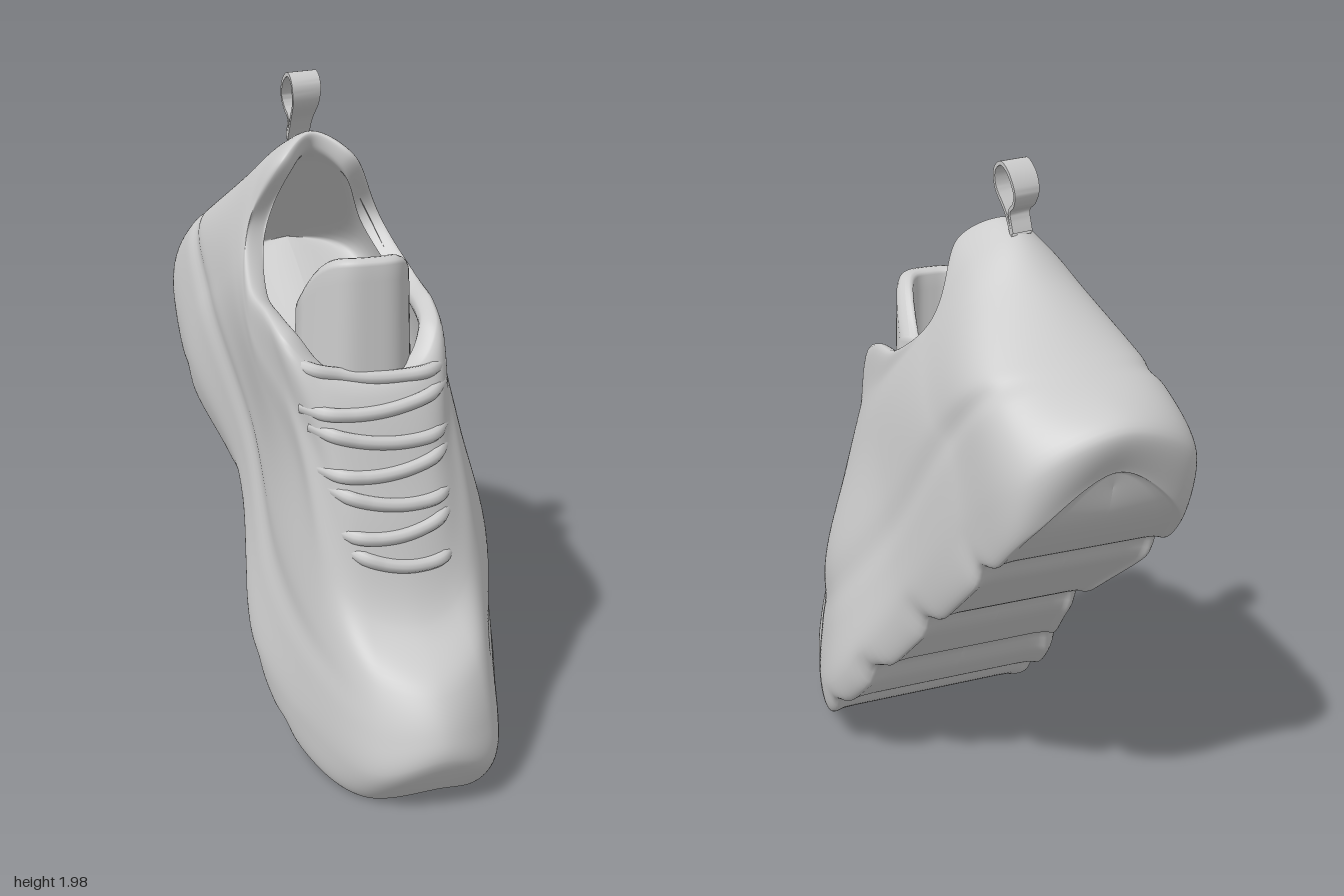
import * as THREE from 'three';
import { toCreasedNormals } from 'three/addons/utils/BufferGeometryUtils.js';

const V = (x, y, z) => new THREE.Vector3(x, y, z);
const material = new THREE.MeshStandardMaterial({ color: 0xcccccc });

// Skin a list of rings (equal counts of points) with quads; rings close on themselves
function skin(rings) {
  const n = rings[0].length, pos = [], idx = [];
  rings.forEach(r => r.forEach(p => pos.push(p.x, p.y, p.z)));
  for (let j = 0; j < rings.length - 1; j++) {
    for (let i = 0; i < n; i++) {
      const a = j * n + i, b = j * n + (i + 1) % n, c = b + n, d = a + n;
      idx.push(a, b, c, a, c, d);
    }
  }
  const g = new THREE.BufferGeometry();
  g.setAttribute('position', new THREE.Float32BufferAttribute(pos, 3));
  g.setIndex(idx);
  g.computeVertexNormals();
  return g;
}

function add(group, name, geometry, mat = material) {
  const m = new THREE.Mesh(geometry, mat);
  m.name = name;
  group.add(m);
  return m;
}

// One closed loop round the shoe. Stations run from toe tip to heel back,
// each [z, y, x on the left, x on the right]. narrow < 1 pulls it to the centre line.
const AROUND = 288;
function loop(stations, narrow = 1) {
  const last = stations.length - 1;
  const at = (i, k) => {
    const s = stations[i], c = (s[2] + s[3]) / 2;
    const p = V(c + (s[k] - c) * narrow, s[1], s[0]);
    const next = stations[i === 0 ? 1 : last - 1];
    return i === 0 || i === last ? p.lerp(V(p.x, next[1], next[0]), .4 * (1 - narrow)) : p;
  };
  const left = stations.map((s, i) => at(i, 2));
  const right = stations.slice(1, -1).map((s, i) => at(i + 1, 3)).reverse();
  const curve = new THREE.CatmullRomCurve3([...left, ...right], true);
  return Array.from({ length: AROUND }, (_, i) => curve.getPoint(i / AROUND));
}

function shrink(ring, f) {
  const c = ring.reduce((a, p) => a.add(p), V(0, 0, 0)).divideScalar(ring.length);
  return ring.map(p => p.clone().lerp(c, 1 - f));
}

function flatten(ring) {
  return ring.map((p, i) => {
    const q = ring[(ring.length - i) % ring.length];
    return p.clone().add(q).multiplyScalar(0.5);
  });
}

function shoeBody() {
  const tread = [[.79, .07, .01, .01], [.69, .02, .18, -.18], [.42, .05, .30, -.29], [.12, .20, .37, -.33],
    [-.28, .62, .23, -.27], [-.60, .92, .19, -.37], [-.79, 1.12, .14, -.32], [-.84, 1.28, -.09, -.09]];
  const midsole = [[.87, .20, 0, 0], [.79, .14, .175, -.175], [.50, .16, .30, -.29], [.13, .29, .40, -.36],
    [-.22, .70, .28, -.31], [-.52, 1.03, .22, -.40], [-.79, 1.28, .16, -.36], [-.87, 1.40, -.09, -.09]];
  const midsoleTop = [[.86, .28, 0, 0], [.78, .26, .165, -.165], [.52, .33, .28, -.275], [.17, .48, .37, -.33],
    [-.14, .82, .28, -.31], [-.44, 1.22, .22, -.38], [-.64, 1.43, .16, -.34], [-.70, 1.48, -.09, -.09]];
  const side = [[.80, .385, 0, 0], [.72, .41, .15, -.15], [.53, .51, .25, -.25], [.29, .69, .33, -.30],
    [-.02, 1.0, .26, -.31], [-.28, 1.30, .22, -.35], [-.51, 1.50, .15, -.32], [-.58, 1.54, -.09, -.09]];
  const vamp = [[.63, .53, 0, 0], [.595, .565, .12, -.14], [.51, .68, .21, -.235], [.35, .94, .24, -.28],
    [.12, 1.18, .23, -.34], [-.14, 1.42, .18, -.33], [-.31, 1.63, .08, -.26], [-.37, 1.675, -.09, -.09]];
  const instep = [[.535, .85, -.04, -.04], [.515, .88, .09, -.17], [.43, 1.01, .165, -.25], [.33, 1.16, .19, -.31],
    [.12, 1.29, .20, -.35], [-.09, 1.49, .15, -.31], [-.17, 1.72, .035, -.22], [-.22, 1.78, -.09, -.09]];
  const rim = [[.43, 1.20, -.07, -.07], [.41, 1.23, .08, -.22], [.35, 1.32, .15, -.31], [.24, 1.37, .17, -.33],
    [.06, 1.40, .18, -.33], [-.11, 1.55, .115, -.28], [-.04, 1.75, .02, -.20], [-.10, 1.815, -.09, -.09]];
  const rimInner = [[.38, 1.19, -.07, -.07], [.36, 1.23, .05, -.19], [.31, 1.32, .11, -.26], [.22, 1.35, .13, -.28],
    [.05, 1.38, .135, -.28], [-.12, 1.53, .07, -.235], [-.06, 1.71, -.01, -.17], [-.11, 1.77, -.09, -.09]];
  const insole = shrink(loop(side), .8);
  const keys = [loop(tread, 0), loop(tread, .5), loop(tread, .88), loop(tread), loop(midsole), loop(midsoleTop),
    loop(side), loop(vamp), loop(instep), loop(rim), loop(rimInner), shrink(loop(instep), .87), insole, flatten(insole)];

  // Smooth each strand from the sole centre, over the collar, to the insole
  const per = 9, rows = (keys.length - 1) * per;
  const rings = Array.from({ length: rows + 1 }, () => []);
  for (let i = 0; i < AROUND; i++) {
    const strand = new THREE.CatmullRomCurve3(keys.map(k => k[i]));
    for (let j = 0; j <= rows; j++) rings[j].push(strand.getPoint(j / rows));
  }

  // Tread grooves across the sole, and a soft groove above the midsole that fades at the toe
  const grooves = [1.07, .66, .33, .06, -.17];
  rings.forEach((ring, j) => {
    const k = j / per;
    const sole = THREE.MathUtils.clamp((4.3 - k) / 1.3, 0, 1);
    const hollow = .01 * THREE.MathUtils.clamp(2.6 - k, 0, 1);
    const seam = .014 * Math.exp(-(((k - 5.4) / .25) ** 2));
    ring.forEach(p => {
      const s = .69 * p.y - .72 * p.z;
      const back = THREE.MathUtils.smoothstep(s, -.4, .4);
      const cut = grooves.reduce((a, g) => a + Math.exp(-(((s - g) / .045) ** 2)), 0);
      const lift = sole * (.018 + .018 * back) * cut + hollow * back * (1 - Math.min(1, cut));
      p.y = Math.max(.003, p.y + .72 * lift);
      p.z += .69 * lift;
      p.x -= back * seam * Math.tanh((p.x + .05) * 8);
    });
  });
  return skin(rings);
}

// Padded tongue: a curved sheet with a rounded top
function tongue() {
  const rings = [], n = 32, thickness = .06;
  const row = v => {
    const ring = [];
    for (const face of [1, -1]) {
      const inset = face < 0 ? thickness : 0;
      for (let i = 0; i <= n; i++) {
        const a = face * (2 * i / n - 1);
        const y = THREE.MathUtils.lerp(1.0, 1.535 - .16 * Math.abs(a) ** 6, v);
        ring.push(V(-.07 + (.185 - .015 * v - inset * .7) * a, y, .425 - .2 * Math.abs(a) ** 3.5 - inset));
      }
    }
    rings.push(ring);
  };
  for (let j = 0; j <= 12; j++) row(j / 12);
  // Rounded lip: the front and back faces meet along the top edge
  const last = rings[rings.length - 1];
  for (const [f, up] of [[.85, .01], [.5, .016], [0, .018]]) {
    rings.push(last.map((p, i) => {
      const q = last[last.length - 1 - i];
      const mid = p.clone().add(q).multiplyScalar(.5);
      return mid.lerp(p, f).add(V(0, up, 0));
    }));
  }
  return skin(rings);
}

// Heel pull loop: a thin, slightly turned band following a teardrop path
function pullLoop() {
  const path = new THREE.CatmullRomCurve3([[-.20, 1.78], [-.155, 1.85], [-.105, 1.91], [-.105, 1.96], [-.145, 1.985],
    [-.20, 1.96], [-.23, 1.91], [-.215, 1.875], [-.185, 1.85], [-.205, 1.79]].map(([z, y]) => V(0, y, z)));
  const rings = [];
  for (let j = 0; j <= 60; j++) {
    const p = path.getPoint(j / 60), t = path.getTangent(j / 60);
    const w = .036 + .012 * THREE.MathUtils.smoothstep(p.y, 1.82, 1.96);
    const corner = (a, b) => V(-.107 + a * w, p.y + b * .006 * t.z, p.z - b * .006 * t.y - a * w * .28);
    rings.push([corner(-1, 1), corner(-1, -1), corner(1, -1), corner(1, 1)]);
  }
  return toCreasedNormals(skin(rings), .9);
}

export function createModel() {
  const shoe = new THREE.Group();
  shoe.name = 'shoe';
  const body = add(shoe, 'upperAndSole', shoeBody());
  const flap = add(shoe, 'tongue', tongue());
  const band = material.clone();
  band.side = THREE.DoubleSide;
  add(shoe, 'heelPullLoop', pullLoop(), band);

  // Laces: bars laid on the instep, slanting alternately, with ends sunk into the upper
  const laces = new THREE.Group();
  laces.name = 'laces';
  const ray = new THREE.Raycaster();
  for (let r = 0; r < 7; r++) {
    const y = .68 + r * .088, half = .15 + r * .012, mid = -.02 - r * .008;
    const points = [-1, -.75, -.4, 0, .4, .75, 1].map(a => {
      const p = V(mid + a * half, y + (r % 2 ? .018 : -.018) * a + .03 * a * a, 2);
      ray.set(p, V(0, 0, -1));
      p.z = ray.intersectObjects([body, flap])[0].point.z - (Math.abs(a) === 1 ? .03 : .004);
      return p;
    });
    add(laces, 'lace', new THREE.TubeGeometry(new THREE.CatmullRomCurve3(points), 36, .021, 10));
  }
  shoe.add(laces);
  return shoe;
}
